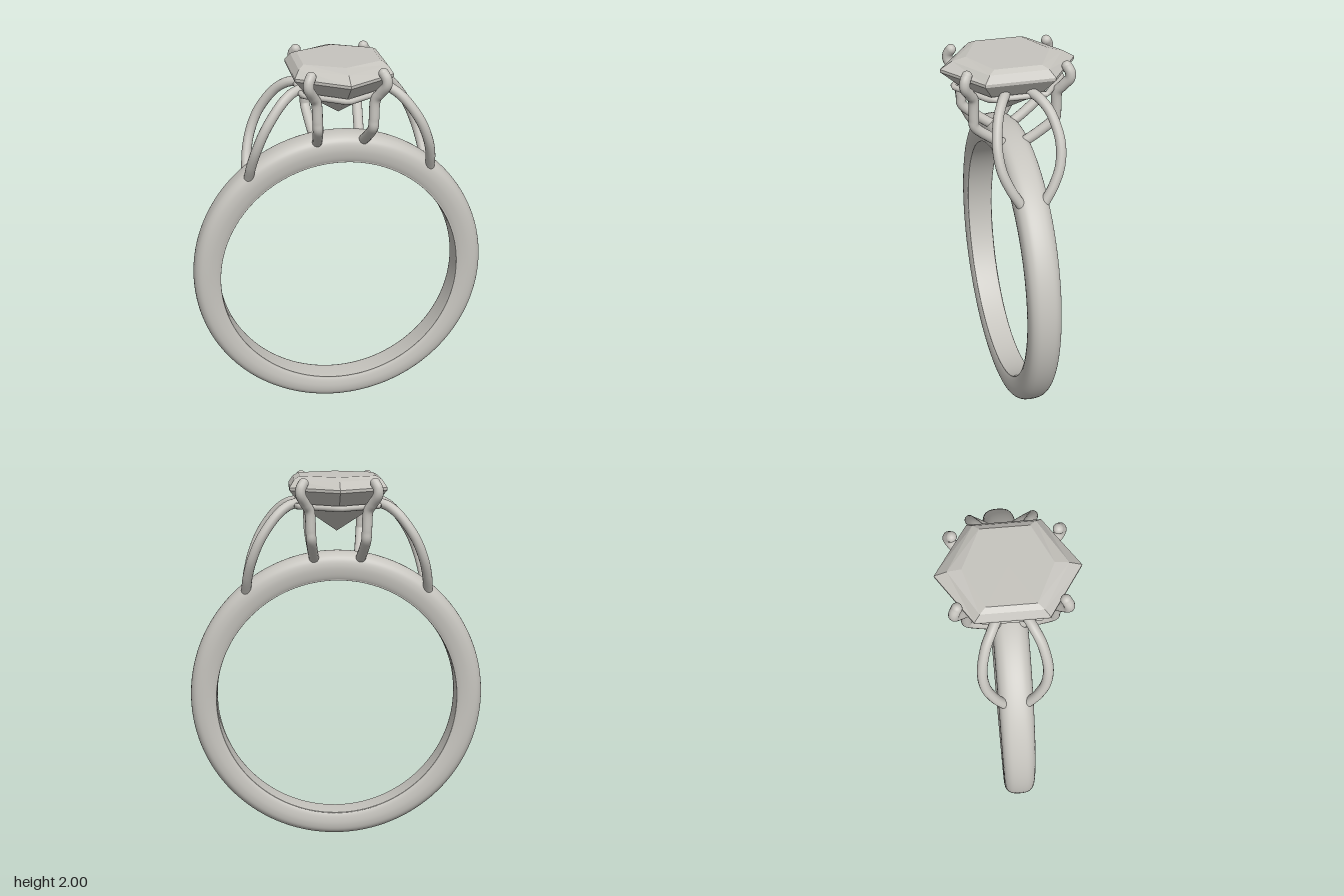
import * as THREE from 'three';
import { ParametricGeometry } from 'three/addons/geometries/ParametricGeometry.js';

const metal = new THREE.MeshStandardMaterial({ color: 0xc6c4be });
metal.name = 'silver grey';
const facet = new THREE.MeshStandardMaterial({ color: 0xc6c4be, flatShading: true });
facet.name = 'faceted silver grey';

const V = (x, y, z) => new THREE.Vector3(x, y, z);

// Round wire through points, with rounded ends
function wire(name, points, radius, closed = false, tension = 0.5) {
  const group = new THREE.Group();
  group.name = name;
  const curve = new THREE.CatmullRomCurve3(points, closed, 'catmullrom', tension);
  group.add(new THREE.Mesh(new THREE.TubeGeometry(curve, 72, radius, 14, closed), metal));
  if (!closed) {
    for (const p of [points[0], points[points.length - 1]]) {
      const cap = new THREE.Mesh(new THREE.SphereGeometry(radius, 14, 10), metal);
      cap.position.copy(p);
      group.add(cap);
    }
  }
  return group;
}

// Elongated hexagon: side half width, side corner depth, point depth
const hexagon = (y, x, zc, zp) => [
  V(0, y, zp), V(x, y, zc), V(x, y, -zc), V(0, y, -zp), V(-x, y, -zc), V(-x, y, zc),
];

// Band: soft D profile, a little thicker and wider at the top
function band() {
  const half = [[0.0, 0.7], [0.05, 0.85], [0.25, 0.96], [0.52, 1], [0.78, 0.9], [0.94, 0.63], [1, 0.25]];
  const profile = new THREE.CatmullRomCurve3([
    ...half.map(([p, q]) => V(p, q, 0)),
    ...half.slice().reverse().map(([p, q]) => V(p, -q, 0)),
  ], true, 'catmullrom', 0.5);
  const surface = (u, v, target) => {
    const t = u * Math.PI * 2;
    const p = profile.getPoint(v % 1);
    const inner = 0.655 - 0.01 * Math.cos(t);
    const r = inner + (0.797 - inner) * p.x;
    target.set(r * Math.sin(t), 0.797 + r * Math.cos(t), p.y * (0.084 + 0.007 * Math.cos(t)));
  };
  const mesh = new THREE.Mesh(new ParametricGeometry(surface, 128, 48), metal);
  mesh.name = 'band';
  return mesh;
}

// Gem: hexagonal rings from table to pavilion, closed by a table and a tip
function gem() {
  const rings = [
    hexagon(2.0, 0.2, 0.122, 0.22),
    hexagon(1.983, 0.228, 0.152, 0.29),
    hexagon(1.945, 0.253, 0.18, 0.353),
    hexagon(1.93, 0.253, 0.18, 0.353),
    hexagon(1.835, 0.18, 0.125, 0.24),
  ];
  const pos = [];
  const tri = (...pts) => pts.forEach((p) => pos.push(p.x, p.y, p.z));
  const top = V(0, 2.0, 0), tip = V(0, 1.7, 0);
  const last = rings.length - 1;
  for (let i = 0; i < 6; i++) {
    const j = (i + 1) % 6;
    tri(top, rings[0][i], rings[0][j]);
    for (let k = 0; k < last; k++) {
      const a = rings[k], b = rings[k + 1];
      tri(a[i], b[i], b[j]);
      tri(a[i], b[j], a[j]);
    }
    tri(rings[last][i], tip, rings[last][j]);
  }
  const geometry = new THREE.BufferGeometry();
  geometry.setAttribute('position', new THREE.Float32BufferAttribute(pos, 3));
  geometry.computeVertexNormals();
  const mesh = new THREE.Mesh(geometry, facet);
  mesh.name = 'gem';
  return mesh;
}

export function createModel() {
  const model = new THREE.Group();
  model.name = 'ring';
  model.add(band(), gem());

  // Hexagonal rail under the gem, with crisp corners
  const corners = hexagon(1.845, 0.213, 0.145, 0.29);
  const railPoints = corners.flatMap((c, i) => {
    const n = corners[(i + 1) % 6];
    return [0.04, 0.35, 0.65, 0.96].map((t) => c.clone().lerp(n, t));
  });
  model.add(wire('rail', railPoints, 0.015, true));

  for (const sx of [1, -1]) {
    for (const sz of [1, -1]) {
      const place = ([x, y, z]) => V(x * sx, y, z * sz);
      // Prong: rises from the band, kinks outward and hooks over the gem
      model.add(wire('prong', [
        [0.122, 1.55, 0.05], [0.132, 1.605, 0.13], [0.142, 1.67, 0.207], [0.145, 1.72, 0.216],
        [0.15, 1.82, 0.217], [0.172, 1.865, 0.24], [0.196, 1.91, 0.269], [0.197, 1.945, 0.27], [0.183, 1.973, 0.256],
      ].map(place), 0.027));
      // Shoulder arch: bows out from the band up to the rail
      model.add(wire('shoulderArch', [
        [0.487, 1.385, 0.06], [0.476, 1.47, 0.11], [0.45, 1.57, 0.15], [0.403, 1.68, 0.16],
        [0.33, 1.785, 0.137], [0.265, 1.84, 0.102], [0.2, 1.86, 0.068],
      ].map(place), 0.026));
    }
  }
  return model;
}
